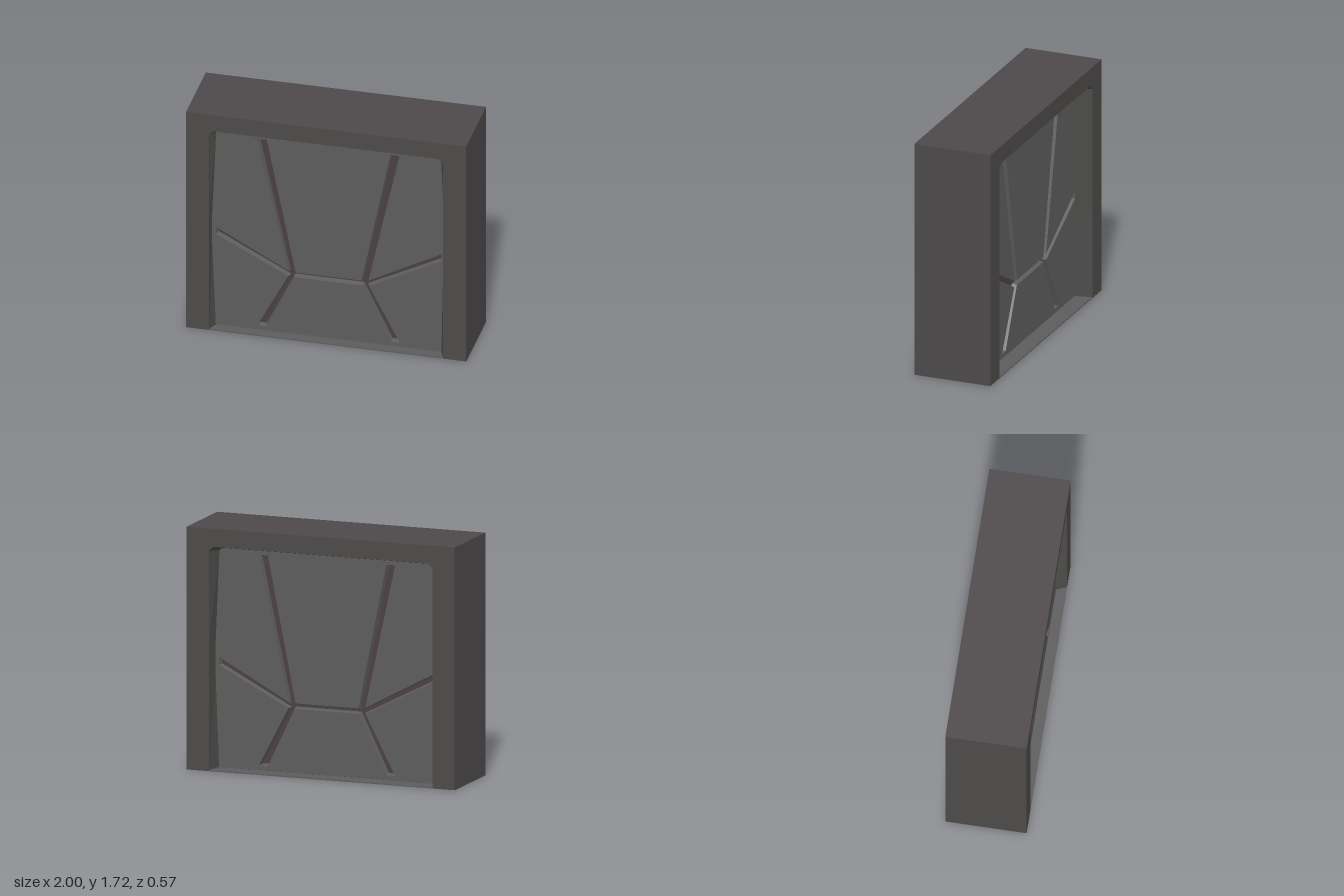
import * as THREE from 'three';

const H = 1.715, HALF_DEPTH = 0.285, GROOVE_DEPTH = 0.035;
const FRONT_Z = 0.212, BACK_Z = 0.167; // distance of each panel from the centre

const mat = (color, side = THREE.FrontSide) =>
  new THREE.MeshStandardMaterial({ color, side, flatShading: true });
const stone = mat(0x4c4b48);
const stoneSides = mat(0x4d494a);
const reveal = mat(0x4c4b48, THREE.DoubleSide);
const plate = mat(0x5c5c5c);
const seam = mat(0x4a4040);

// Right-half outline plus its mirror image, as one loop
const mirrored = half => [
  ...half,
  ...half.slice().reverse().map(([x, y]) => [-x, y]),
];
const vec2 = pts => pts.map(([x, y]) => new THREE.Vector2(x, y));

function part(name, geometry, material) {
  const mesh = new THREE.Mesh(geometry, material);
  mesh.name = name;
  return mesh;
}

// Ruled surface between two open outlines at different depths
function loft(a, za, b, zb) {
  const pos = [];
  for (let i = 0; i < a.length - 1; i++) {
    const p0 = [...a[i], za], p1 = [...a[i + 1], za];
    const q0 = [...b[i], zb], q1 = [...b[i + 1], zb];
    pos.push(...p0, ...q0, ...p1, ...p1, ...q0, ...q1);
  }
  const g = new THREE.BufferGeometry();
  g.setAttribute('position', new THREE.Float32BufferAttribute(pos, 3));
  g.computeVertexNormals();
  return g;
}

// Opening at the wall face, and the smaller outline where it meets the panel
const opening = mirrored([[0.834, 0], [0.834, 0.65], [0.834, 0.9], [0.834, 1.555], [0.8, 1.587]]);
const inner = mirrored([[0.805, 0], [0.831, 0.65], [0.831, 0.9], [0.803, 1.542], [0.775, 1.56]]);

// Branching groove: crossbar with three arms at each end
const groove = mirrored([
  [0.235, 0.5], [0.442, 1.53], [0.508, 1.53], [0.285, 0.507], [0.805, 0.787], [0.805, 0.73],
  [0.288, 0.463], [0.508, 0.043], [0.442, 0.043], [0.24, 0.462],
]);

function createFace(panelZ) {
  const face = new THREE.Group();
  face.add(part('recessReveal', loft(opening, HALF_DEPTH, inner, panelZ), reveal));

  // Panel with the groove cut through; the bevel slopes the groove walls
  const outline = mirrored([[0.834, 0.01], [0.834, 1.555], [0.8, 1.586]]);
  const shape = new THREE.Shape(vec2(outline));
  shape.holes.push(new THREE.Path(vec2(groove)));
  const depth = 0.001;
  const geometry = new THREE.ExtrudeGeometry(shape, {
    depth, bevelEnabled: true, bevelThickness: GROOVE_DEPTH, bevelSize: 0.01, bevelSegments: 1,
  });
  geometry.translate(0, 0, panelZ - GROOVE_DEPTH - depth);
  face.add(part('groovedPanel', geometry, plate));
  return face;
}

export function createModel() {
  const model = new THREE.Group();
  model.name = 'recessedWall';

  // Jambs and lintel
  const frame = new THREE.Shape(vec2([
    [-1, 0], [-0.835, 0], [-0.835, 1.555], [-0.8, 1.588],
    [0.8, 1.588], [0.835, 1.555], [0.835, 0], [1, 0], [1, H], [-1, H],
  ]));
  const frameGeometry = new THREE.ExtrudeGeometry(frame, { depth: HALF_DEPTH * 2, bevelEnabled: false });
  frameGeometry.translate(0, 0, -HALF_DEPTH);
  model.add(part('frame', frameGeometry, [stone, stoneSides]));

  // Thin sill closing the bottom
  const sill = part('sill', new THREE.BoxGeometry(1.67, 0.008, HALF_DEPTH * 2), plate);
  sill.position.y = 0.004;
  model.add(sill);

  // Core whose faces form the groove floors
  const coreDepth = FRONT_Z + BACK_Z - GROOVE_DEPTH * 2;
  const core = part('grooveFloor', new THREE.BoxGeometry(1.66, 1.56, coreDepth), seam);
  core.position.set(0, 0.79, (FRONT_Z - BACK_Z) / 2);
  model.add(core);

  // A recess on each side of the wall, the back one deeper
  const front = createFace(FRONT_Z);
  front.name = 'frontRecess';
  const back = createFace(BACK_Z);
  back.name = 'backRecess';
  back.rotation.y = Math.PI;
  model.add(front, back);
  return model;
}
